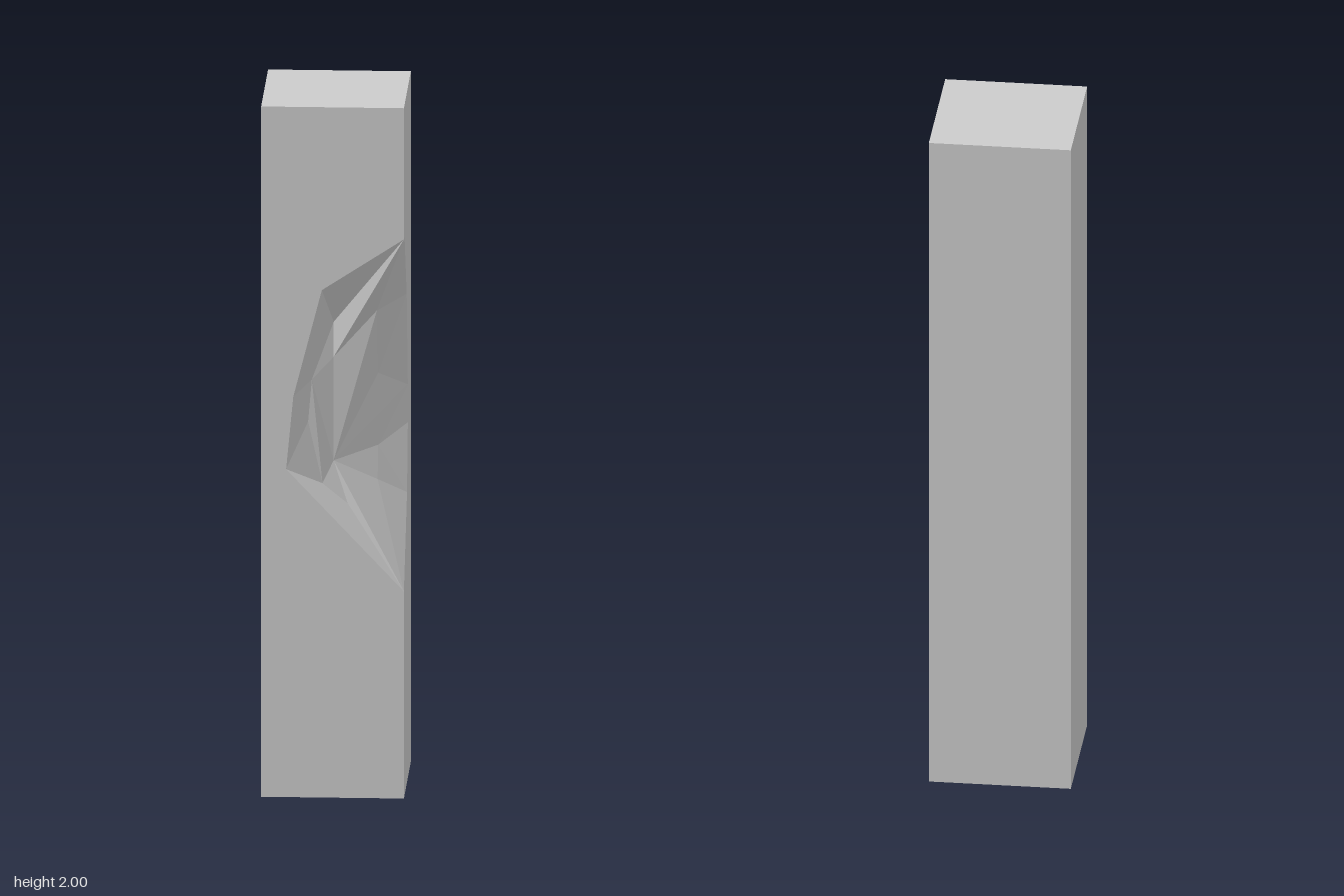
import * as THREE from 'three';

// Flat-shaded mesh from polygons; each is triangulated in the plane across `axis` and faces `sign` along it.
function polygonMesh(name, polygons) {
  const positions = [];
  for (const [axis, sign, points] of polygons) {
    const u = (axis + 1) % 3, v = (axis + 2) % 3;
    const flat = points.map(p => new THREE.Vector2(p[u], p[v]));
    for (const [a, b, c] of THREE.ShapeUtils.triangulateShape(flat, [])) {
      const area = flat[b].clone().sub(flat[a]).cross(flat[c].clone().sub(flat[a]));
      const order = area * sign > 0 ? [a, b, c] : [a, c, b];
      order.forEach(i => positions.push(...points[i]));
    }
  }
  const geometry = new THREE.BufferGeometry();
  geometry.setAttribute('position', new THREE.Float32BufferAttribute(positions, 3));
  geometry.computeVertexNormals();
  const mesh = new THREE.Mesh(geometry, new THREE.MeshStandardMaterial({ color: 0xcccccc, flatShading: true }));
  mesh.name = name;
  return mesh;
}

export function createModel() {
  const X = 0, Y = 1, Z = 2, s = 0.2, h = 2;
  const group = new THREE.Group();
  group.name = 'chippedPillar';

  // Ends of the chip on the pillar's corner edge
  const top = [s, 1.62, s], bottom = [s, 0.6, s];

  // Rim of the chip on the front face, upper and lower lobes meeting at a sunken notch
  const frontUpper = [[0.12, 1.6], [-0.03, 1.47], [-0.1, 1.25], [-0.11, 1.16]].map(([x, y]) => [x, y, s]);
  const frontLower = [[-0.13, 0.95], [-0.12, 0.83], [0, 0.68], [0.08, 0.63]].map(([x, y]) => [x, y, s]);
  const frontNotch = [-0.07, 1.08, 0.165];

  // Rim of the chip on the side face, with two sunken notches
  const sideUpper = [[1.62, 0.165], [1.48, 0.045], [1.42, 0.04]].map(([y, z]) => [s, y, z]);
  const sideLower = [[0.84, 0.02], [0.74, 0.05]].map(([y, z]) => [s, y, z]);
  const notchUp = [0.12, 1.19, 0.04], notchLow = [0.12, 0.98, 0.035];
  const deep = [[s, 1.14, -0.025], [s, 1.03, -0.025]];

  // Inner ridge and tips of the facets
  const ridgeUp = [0, 1.26, 0.135], ridgeLow = [0, 0.96, 0.135];
  const tipUp = [0.12, 1.39, 0.115], tipLow = [0.12, 0.89, 0.07];
  const leftUp = [0, 1.36, 0.13], leftMid = [-0.06, 1.2, 0.16];
  const leftLow = [-0.03, 0.9, 0.16], leftTip = [0.04, 0.84, 0.15];

  // Pillar faces
  const ring = y => [[-s, y, -s], [s, y, -s], [s, y, s], [-s, y, s]];
  const lo = ring(0), hi = ring(h);
  group.add(polygonMesh('pillarShaft', [
    [Y, 1, hi],
    [Y, -1, lo],
    [Z, -1, [lo[0], lo[1], hi[1], hi[0]]],
    [X, -1, [lo[0], lo[3], hi[3], hi[0]]],
    [Z, 1, [lo[3], hi[3], hi[2], top, ...frontUpper, frontNotch, ...frontLower, bottom, lo[2]]],
    [X, 1, [lo[1], hi[1], hi[2], top, ...sideUpper, notchUp, ...deep, notchLow, ...sideLower, bottom, lo[2]]],
  ]));

  // Faceted hollow broken out of the corner
  group.add(polygonMesh('chippedHollow', [
    [Z, 1, [top, ...frontUpper, frontNotch, leftMid, leftUp, ridgeUp]],
    [Z, 1, [frontNotch, ...frontLower, bottom, ridgeLow, leftTip, leftLow]],
    [Z, 1, [ridgeUp, leftUp, leftMid, frontNotch, leftLow, leftTip, ridgeLow]],
    [Z, 1, [ridgeUp, tipUp, notchUp, ...deep, notchLow, tipLow, ridgeLow]],
    [X, 1, [ridgeUp, top, ...sideUpper, notchUp, tipUp]],
    [X, 1, [ridgeLow, tipLow, notchLow, ...sideLower, bottom]],
  ]));
  return group;
}
